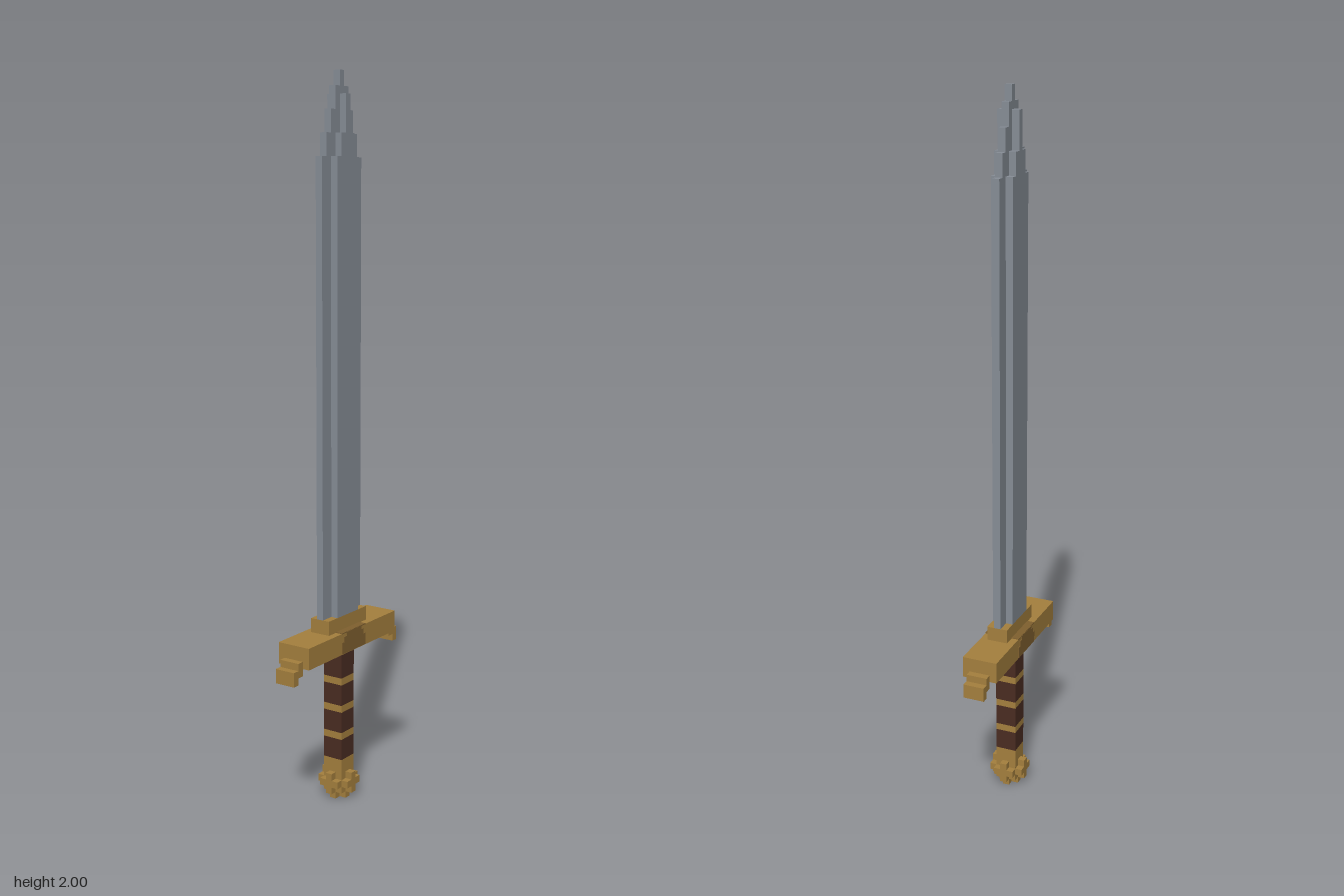
import * as THREE from 'three';

const material = (name, color) => {
  const m = new THREE.MeshStandardMaterial({ color });
  m.name = name;
  return m;
};

export function createModel() {
  const gold = material('gold', 0xa5803e);
  const steel = material('steel', 0x878e97);
  const leather = material('dark leather', 0x4a2c22);
  const bronze = material('bronze inlay', 0x80602f);
  const sword = new THREE.Group();
  sword.name = 'sword';

  const add = (name, geometry, mat, parent = sword) => {
    const mesh = new THREE.Mesh(geometry, mat);
    mesh.name = name;
    parent.add(mesh);
    return mesh;
  };
  // Box standing between heights y0 and y1
  const box = (name, mat, w, y0, y1, d, z = 0, parent = sword) => {
    const mesh = add(name, new THREE.BoxGeometry(w, y1 - y0, d), mat, parent);
    mesh.position.set(0, (y0 + y1) / 2, z);
    return mesh;
  };
  // Slab across x whose outline narrows in steps of [half width, top height]
  const steppedSlab = (name, mat, bottom, steps, thickness) => {
    const right = [];
    let y = bottom;
    for (const [half, top] of steps) {
      right.push([half, y], [half, top]);
      y = top;
    }
    const left = right.map(([h, v]) => [-h, v]).reverse();
    const shape = new THREE.Shape([...right, ...left].map(([h, v]) => new THREE.Vector2(h, v)));
    const geometry = new THREE.ExtrudeGeometry(shape, { depth: thickness, bevelEnabled: false });
    geometry.translate(0, 0, -thickness / 2).rotateY(Math.PI / 2);
    return add(name, geometry, mat);
  };

  // Blade: thin cutting edge with a thicker spine
  steppedSlab('bladeEdge', steel, 0.54,
    [[0.09, 1.78], [0.07, 1.84], [0.05, 1.9], [0.03, 1.96], [0.01, 2]], 0.02);
  steppedSlab('bladeSpine', steel, 0.54, [[0.05, 1.78], [0.03, 1.84], [0.01, 1.94]], 0.06);

  // Crossguard with collar and drooping stepped ends
  box('bladeCollar', gold, 0.06, 0.5, 0.54, 0.18);
  box('crossguard', gold, 0.1, 0.44, 0.5, 0.42);
  for (const s of [1, -1]) {
    const end = new THREE.Group();
    end.name = s > 0 ? 'frontGuardEnd' : 'backGuardEnd';
    box('guardEndInner', gold, 0.06, 0.42, 0.46, 0.02, s * 0.22, end);
    box('guardEndTip', gold, 0.06, 0.4, 0.44, 0.02, s * 0.24, end);
    sword.add(end);
  }

  // Rounded inlay on both faces of the guard, carried over its top
  steppedSlab('guardInlay', bronze, 0.442, [[0.057, 0.475], [0.047, 0.49], [0.035, 0.501]], 0.104);
  box('guardInlayTop', bronze, 0.102, 0.499, 0.502, 0.114);

  // Grip: leather sections divided by gold rings
  for (const [y0, y1] of [[0.12, 0.18], [0.2, 0.26], [0.28, 0.34], [0.36, 0.44]]) {
    box('gripLeather', leather, 0.06, y0, y1, 0.06);
  }
  for (const y of [0.18, 0.26, 0.34]) box('gripRing', gold, 0.06, y, y + 0.02, 0.06);

  // Pommel: blocky ball with a cross on every side
  const pommel = new THREE.Group();
  pommel.name = 'pommel';
  box('pommelNeck', gold, 0.06, 0.08, 0.12, 0.06, 0, pommel);
  box('pommelCore', gold, 0.06, 0.02, 0.08, 0.06, 0, pommel);
  const sizes = [0.1, 0.06, 0.02];
  for (const [a, b, c] of [[0, 1, 2], [0, 2, 1], [1, 0, 2], [2, 0, 1], [1, 2, 0], [2, 1, 0]]) {
    const h = sizes[b];
    box('pommelCross', gold, sizes[a], 0.05 - h / 2, 0.05 + h / 2, sizes[c], 0, pommel);
  }
  sword.add(pommel);

  return sword;
}
